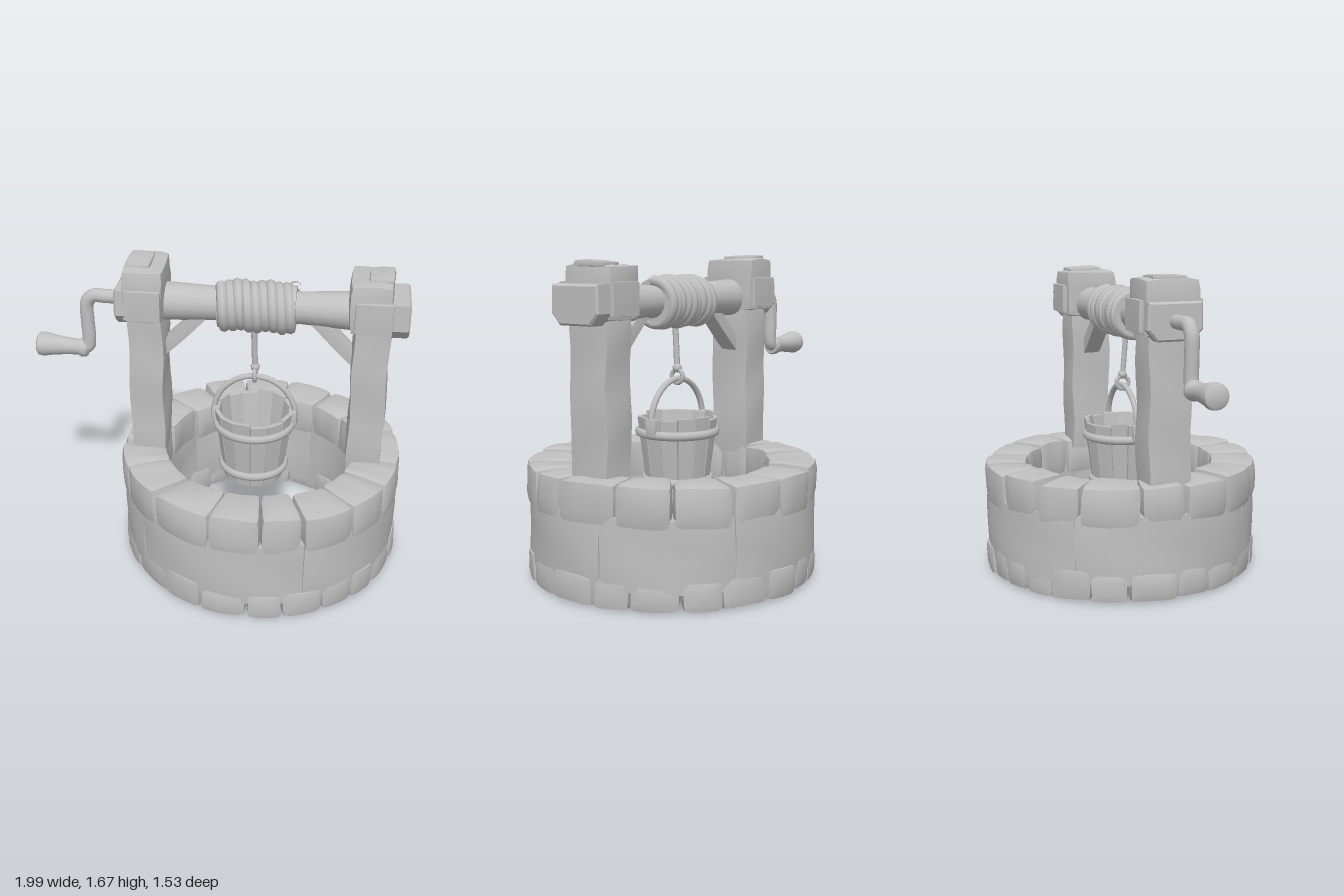
import * as THREE from 'three';
import { mergeVertices, toCreasedNormals } from 'three/addons/utils/BufferGeometryUtils.js';

export function createModel() {
  const model = new THREE.Group();
  model.name = 'well';
  const clay = new THREE.MeshStandardMaterial({ color: 0xc0c0c0 });
  clay.name = 'grey clay';

  let seed = 11;
  const rand = (a, b) => {
    seed = (seed * 16807) % 2147483647;
    return a + (b - a) * (seed / 2147483647);
  };

  const add = (name, geometry, x = 0, y = 0, z = 0, parent = model) => {
    const mesh = new THREE.Mesh(geometry, clay);
    mesh.name = name;
    mesh.position.set(x, y, z);
    parent.add(mesh);
    return mesh;
  };

  // Box with softened edges and a gentle hand-carved wobble; warp may bend it afterwards
  const block = (w, h, d, segs, round, wobble = 0, warp = null) => {
    let g = new THREE.BoxGeometry(w, h, d, ...segs);
    g.deleteAttribute('normal');
    g.deleteAttribute('uv');
    g = mergeVertices(g);
    const core = new THREE.Vector3(w / 2 - round, h / 2 - round, d / 2 - round);
    const p = g.attributes.position, v = new THREE.Vector3(), c = new THREE.Vector3();
    const phase = rand(0, 6);
    for (let i = 0; i < p.count; i++) {
      v.fromBufferAttribute(p, i);
      c.copy(v).clamp(core.clone().negate(), core);
      v.sub(c).setLength(Math.min(round, v.length())).add(c);
      v.x += wobble * Math.sin(v.y * 13 + v.z * 9 + phase);
      v.y += wobble * Math.sin(v.x * 17 + v.z * 11 + phase * 2);
      v.z += wobble * Math.sin(v.y * 15 + v.x * 8 + phase * 3);
      if (warp) warp(v);
      p.setXYZ(i, v.x, v.y, v.z);
    }
    g.computeVertexNormals();
    return toCreasedNormals(g, 0.75);
  };

  const tube = (points, radius, segs = 32, sides = 10) => new THREE.TubeGeometry(
    new THREE.CatmullRomCurve3(points.map(p => new THREE.Vector3(...p))), segs, radius, sides);

  // Ring of wedge stones bent around the well axis
  const stoneRing = (name, o) => {
    const ring = new THREE.Group();
    ring.name = name;
    ring.position.x = 0.225;
    model.add(ring);
    const weights = Array.from({ length: o.count }, () => rand(0.75, 1.25));
    const total = weights.reduce((a, b) => a + b, 0);
    let angle = o.start;
    for (const wgt of weights) {
      const span = (wgt / total) * Math.PI * 2;
      const mid = angle + span / 2;
      const top = o.y1 - rand(0, o.uneven);
      const inner = o.r0 + rand(0, o.uneven), outer = o.r1 - rand(0, o.uneven * 0.6);
      const rm = (inner + outer) / 2;
      add('stone', block(span * rm * 1.005, top - o.y0, outer - inner, o.segs, o.round, o.wobble, v => {
        const a = mid + v.x / rm, r = rm + v.z;
        v.set(Math.sin(a) * r, Math.max(0, v.y + (top + o.y0) / 2), Math.cos(a) * r);
      }), 0, 0, 0, ring);
      angle += span;
    }
  };
  stoneRing('rimStones', { count: 17, start: 0.1, y0: 0.4, y1: 0.622, r0: 0.505, r1: 0.768,
    uneven: 0.018, segs: [6, 4, 4], round: 0.032, wobble: 0.004 });
  stoneRing('wall', { count: 5, start: 0.4, y0: 0.09, y1: 0.46, r0: 0.53, r1: 0.757,
    uneven: 0.006, segs: [16, 5, 3], round: 0.012, wobble: 0.003 });
  stoneRing('baseStones', { count: 22, start: 0.25, y0: 0.003, y1: 0.175, r0: 0.515, r1: 0.77,
    uneven: 0.03, segs: [5, 4, 4], round: 0.025, wobble: 0.004 });

  // Posts with a thick head, cheek plates and a diagonal brace
  for (const s of [-1, 1]) {
    const side = new THREE.Group();
    side.name = s < 0 ? 'rightPost' : 'leftPost';
    side.position.x = s < 0 ? -0.385 : 0.785;
    model.add(side);
    const top = s < 0 ? 1.65 : 1.63;
    const headX = s < 0 ? -0.005 : -0.015;
    add('post', block(0.19, 0.86, 0.24, [4, 10, 4], 0.018, 0.005), 0, 0.98, 0, side);
    add('postHead', block(0.22, top - 1.36, 0.31, [4, 5, 5], 0.03, 0.005), headX, (top + 1.36) / 2, 0, side);
    for (const z of [-1, 1])
      add('cheekPlate', block(0.19, 0.165, 0.03, [3, 3, 2], 0.008), 0, 1.465, z * 0.16, side);
    add('headChip', block(0.13, 0.04, 0.2, [3, 2, 4], 0.018, 0.004), s * 0.03, top - 0.002, -0.01, side);
    const brace = add('brace', block(0.36, 0.07, 0.1, [5, 2, 2], 0.01, 0.002), -s * 0.18, 1.27, 0, side);
    brace.rotation.z = -s * Math.PI / 4;
  }

  // Beam: flared log with a faceted tip at each end
  const log = new THREE.LatheGeometry([[0.104, -0.5], [0.1, -0.28], [0.088, 0], [0.084, 0.42], [0.1, 0.68], [0.1, 0.85]]
    .map(([r, y]) => new THREE.Vector2(r, y)), 16);
  log.rotateZ(-Math.PI / 2);
  add('beam', log, 0, 1.435, 0);
  // Trapezoid cross-section with the lower corners cut away
  const tipShape = new THREE.Shape([[-0.14, 0.095], [0.14, 0.095], [0.145, -0.035], [0.095, -0.09], [-0.095, -0.09], [-0.145, -0.035]]
    .map(([x, y]) => new THREE.Vector2(x, y)));
  const beamTip = (x, length) => {
    const g = new THREE.ExtrudeGeometry(tipShape, { depth: length - 0.02, bevelThickness: 0.01,
      bevelSize: 0.01, bevelSegments: 1, bevelOffset: -0.005 });
    g.rotateY(Math.PI / 2);
    add('beamTip', g, x + 0.01, 1.437, 0);
  };
  beamTip(0.84, 0.125);
  beamTip(-0.537, 0.1);

  // Rope wound on the beam
  const coil = [];
  for (let i = 0; i <= 9 * 12; i++) {
    const a = (i / 12) * Math.PI * 2;
    const r = 0.108 + 0.006 * Math.sin(i * 0.37);
    coil.push([0 + (i / 108) * 0.385 + 0.012 * Math.sin(a), 1.43 + r * Math.cos(a), r * Math.sin(a)]);
  }
  add('ropeCoil', tube(coil, 0.029, 300, 8));
  const core = new THREE.CylinderGeometry(0.118, 0.118, 0.4, 24);
  core.rotateZ(Math.PI / 2);
  add('ropeCore', core, 0.19, 1.43, 0);

  // Hanging rope with its hook and knot
  add('hangingRope', tube([[0.175, 1.34, 0.02], [0.178, 1.2, 0.01], [0.183, 1.07, 0]], 0.016, 12, 8));
  add('knot', new THREE.SphereGeometry(0.025, 12, 8), 0.183, 1.08, 0);
  const hook = add('hook', new THREE.TorusGeometry(0.036, 0.012, 8, 20), 0.183, 1.035, 0);
  hook.rotation.y = Math.PI / 2;

  // Bucket: tapered staves, floor, hoops and arched handle
  const bucket = new THREE.Group();
  bucket.name = 'bucket';
  bucket.position.set(0.183, 0, 0);
  model.add(bucket);
  const staves = 14;
  for (let i = 0; i < staves; i++) {
    const a = ((i + 0.5) / staves) * Math.PI * 2;
    const top = 0.84 - rand(0, 0.02);
    const g = block(0.094, top - 0.42, 0.028, [2, 4, 2], 0.007, 0, v => {
      const y = v.y + (top + 0.42) / 2;
      const r = 0.155 + (y - 0.42) * 0.125;
      v.set(v.x * r / 0.207, y, v.z + r - 0.006);
    });
    g.rotateY(a);
    add('stave', g, 0, 0, 0, bucket);
  }
  add('bucketFloor', new THREE.CylinderGeometry(0.15, 0.145, 0.03, 28), 0, 0.45, 0, bucket);
  for (const [y, r] of [[0.745, 0.207], [0.49, 0.175]]) {
    const g = new THREE.TorusGeometry(r, 0.018, 8, 36);
    g.rotateX(Math.PI / 2);
    g.scale(1, 1.3, 1);
    add('hoop', g, 0, y, 0, bucket);
  }
  const arch = [];
  for (let i = 0; i <= 12; i++) {
    const a = (i / 12) * Math.PI;
    arch.push([0.222 * Math.cos(a), 0.79 + 0.232 * Math.sin(a), 0]);
  }
  add('bucketHandle', tube(arch, 0.016, 36, 8), 0, 0, 0, bucket);
  for (const s of [-1, 1])
    add('handleEar', block(0.04, 0.1, 0.06, [2, 4, 3], 0.016), s * 0.215, 0.785, 0, bucket);

  // Crank arm and turned grip
  add('crankArm', tube([[-0.48, 1.44, 0], [-0.6, 1.44, 0], [-0.68, 1.438, 0], [-0.712, 1.4, 0],
    [-0.716, 1.3, 0], [-0.713, 1.19, 0], [-0.722, 1.145, 0], [-0.76, 1.132, 0]], 0.037, 48, 12));
  const grip = new THREE.LatheGeometry([[0, 0], [0.045, 0], [0.052, 0.012], [0.052, 0.035], [0.043, 0.05], [0.047, 0.12],
    [0.058, 0.2], [0.066, 0.24], [0.062, 0.268], [0.048, 0.277], [0, 0.277]]
    .map(([r, y]) => new THREE.Vector2(r, y)), 20);
  grip.rotateZ(Math.PI / 2);
  add('crankGrip', toCreasedNormals(grip, 0.8), -0.723, 1.132, 0).rotation.z = -0.03;

  return model;
}
